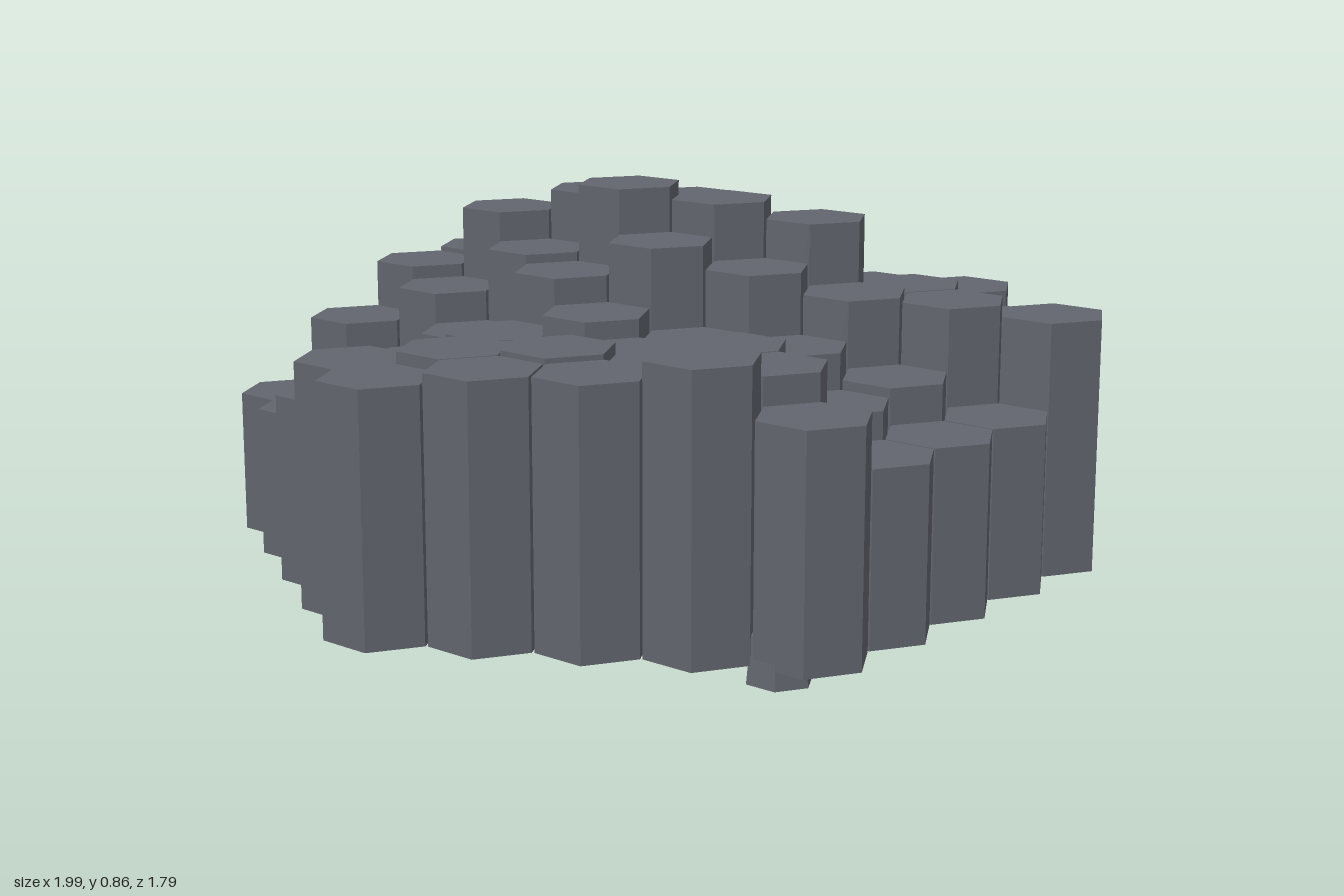
import * as THREE from 'three';

export function createModel() {
  const model = new THREE.Group();
  const basalt = new THREE.MeshStandardMaterial({ color: 0x62656e, flatShading: true });
  basalt.name = 'basalt grey';

  const pitch = 2 / 9;                       // spacing of neighbouring columns
  const rowStep = pitch * Math.sqrt(3) / 2;  // spacing of the rows
  const base = 0.04;

  // Top height of every column, rows from back to front, each from -x to +x
  const tops = [
    [0.37, 0.52, 0.63, 0.64, 0.41],
    [0.38, 0.45, 0.60, 0.77, 0.66, 0.49],
    [0.46, 0.48, 0.53, 0.70, 0.82, 0.64, 0.46],
    [0.58, 0.55, 0.57, 0.68, 0.86, 0.81, 0.59, 0.41],
    [0.585, 0.61, 0.57, 0.62, 0.755, 0.83, 0.675, 0.52, 0.41],
    [0.61, 0.62, 0.58, 0.57, 0.70, 0.79, 0.61, 0.49],
    [0.61, 0.60, 0.60, 0.56, 0.65, 0.64, 0.605],
    [0.65, 0.60, 0.48, 0.50, 0.64, 0.57],
    [0.54, 0.42, 0.42, 0.42, 0.615],
  ];

  // Hexagonal columns, points facing front and back
  const columns = new THREE.Group();
  columns.name = 'columns';
  tops.forEach((row, j) => row.forEach((top, i) => {
    const column = new THREE.Mesh(new THREE.CylinderGeometry(0.125, 0.125, top - base, 6), basalt);
    column.name = 'column';
    column.position.set((i - (row.length - 1) / 2) * pitch, (top + base) / 2, (j - 4) * rowStep);
    columns.add(column);
  }));
  model.add(columns);

  // Broken stones, mostly buried under the front columns: [x, y, z, tilt x, tilt z]
  const stones = new THREE.Group();
  stones.name = 'brokenStones';
  [
    [-0.495, 0.05, 0.73, 0, 0],
    [-0.22, 0.07, 0.71, 0.1, -0.17],
    [0.07, 0.08, 0.75, 0.1, -0.4],
  ].forEach(([x, y, z, tiltX, tiltZ]) => {
    const stone = new THREE.Mesh(new THREE.CylinderGeometry(0.062, 0.072, 0.1, 6), basalt);
    stone.name = 'brokenStone';
    stone.position.set(x, y, z);
    stone.rotation.set(tiltX, 0, tiltZ);
    stones.add(stone);
  });
  model.add(stones);
  return model;
}
